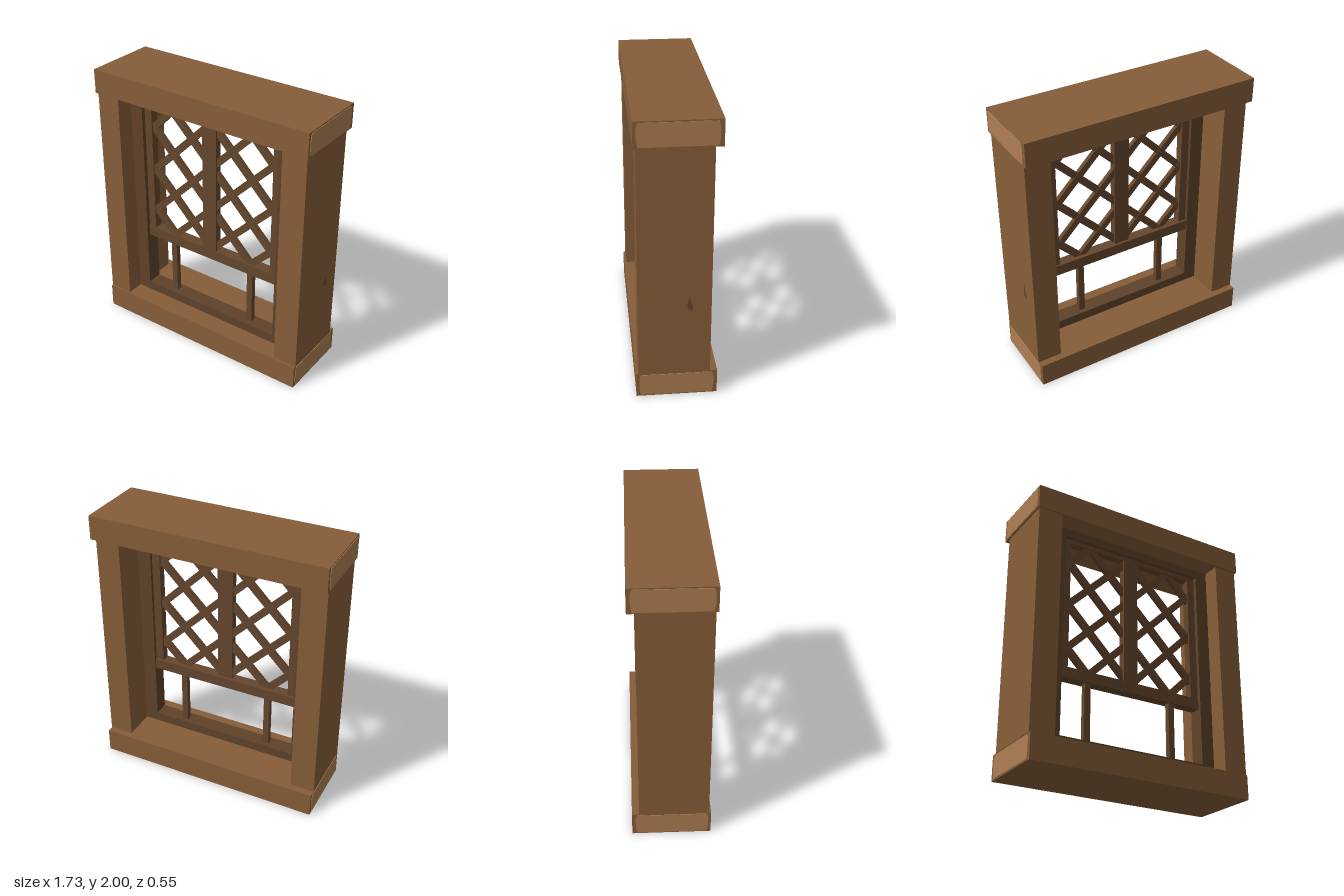
import * as THREE from 'three';

export function createModel() {
  const model = new THREE.Group();
  model.name = 'latticeWindow';
  const mat = (name, color) => {
    const m = new THREE.MeshStandardMaterial({ color });
    m.name = name;
    return m;
  };
  const wood = mat('timber brown', 0x875e39);
  const frameWood = mat('frame dark brown', 0x5f432a);
  const sashWood = mat('sash brown', 0x65472e);
  const endGrain = mat('end grain tan', 0xae7e52);

  // Box given by its limits on each axis
  const box = (name, material, x0, x1, y0, y1, z0, z1, parent = model) => {
    const mesh = new THREE.Mesh(new THREE.BoxGeometry(x1 - x0, y1 - y0, z1 - z0), material);
    mesh.position.set((x0 + x1) / 2, (y0 + y1) / 2, (z0 + z1) / 2);
    mesh.name = name;
    parent.add(mesh);
    return mesh;
  };

  // Thin plate facing +x or -x, outlined by [z, y] points
  const sidePlate = (name, material, points, side, x) => {
    const shape = new THREE.Shape(points.map(([z, y]) => new THREE.Vector2(-side * z, y)));
    const mesh = new THREE.Mesh(new THREE.ExtrudeGeometry(shape, { depth: 0.004, bevelEnabled: false }), material);
    mesh.rotation.y = side * Math.PI / 2;
    mesh.position.x = side * x;
    mesh.name = name;
    model.add(mesh);
  };

  // Lintel and sill beams, with cut grain on both ends
  for (const [name, halfX, y0, y1] of [['lintel', 0.861, 1.825, 2], ['sill', 0.847, 0, 0.18]]) {
    box(name, wood, -halfX, halfX, y0, y1, -0.275, 0.275);
    const a = y0 + 0.009, b = y1 - 0.009;
    const outline = [[-0.24, a], [0.245, a], [0.255, a + 0.045], [0.255, b - 0.04],
      [0.245, b], [-0.24, b], [-0.25, b - 0.04], [-0.25, a + 0.045]];
    for (const side of [-1, 1]) sidePlate(name + 'EndGrain', endGrain, outline, side, halfX);
  }

  // Side posts
  for (const s of [-1, 1]) {
    const [x0, x1] = s < 0 ? [-0.85, -0.67] : [0.67, 0.85];
    box('post', wood, x0, x1, 0.18, 1.825, -0.225, 0.26);
  }
  // Chipped mark on one post
  sidePlate('postMark', sashWood,
    [[0.08, 0.785], [0.064, 0.71], [0.07, 0.685], [0.1, 0.67], [0.104, 0.7], [0.09, 0.735]]
      .map(([z, y]) => [-z, y]), 1, 0.848);

  // Recessed fixed frame
  const frame = new THREE.Group();
  frame.name = 'fixedFrame';
  model.add(frame);
  for (const s of [-1, 1]) {
    const [x0, x1] = s < 0 ? [-0.67, -0.57] : [0.57, 0.67];
    box('jamb', frameWood, x0, x1, 0.18, 1.825, 0.015, 0.13, frame);
  }
  box('frameHead', frameWood, -0.57, 0.57, 1.76, 1.825, 0.015, 0.13, frame);
  box('frameFoot', frameWood, -0.57, 0.57, 0.18, 0.25, 0.015, 0.13, frame);

  // Raised sash
  const sash = new THREE.Group();
  sash.name = 'sash';
  model.add(sash);
  box('stile', sashWood, -0.57, -0.51, 0.755, 1.76, 0.04, 0.1, sash);
  box('stile', sashWood, 0.51, 0.57, 0.755, 1.76, 0.04, 0.1, sash);
  box('topRail', sashWood, -0.51, 0.51, 1.73, 1.76, 0.04, 0.1, sash);
  box('bottomRail', sashWood, -0.57, 0.57, 0.675, 0.755, 0.025, 0.105, sash);
  box('mullion', sashWood, -0.066, 0.05, 0.755, 1.73, 0.045, 0.1, sash);

  // Diagonal lattice: 45 degree bars, each clipped to its pane
  const step = 0.336;
  for (const [cx, x0, x1] of [[-0.34, -0.535, -0.045], [0.333, 0.03, 0.535]]) {
    for (const slope of [-1, 1]) {
      for (let k = -4; k <= 4; k++) {
        const c = 1.415 + k * step; // height of the bar at x = cx
        const xAt = (y) => cx + (y - c) * slope;
        const ends = [xAt(0.735), xAt(1.75)].sort((p, q) => p - q);
        const a = Math.max(x0, ends[0]), b = Math.min(x1, ends[1]);
        if (b - a < 0.02) continue;
        const bar = new THREE.Mesh(
          new THREE.BoxGeometry((b - a) * Math.SQRT2, 0.05, 0.032), sashWood);
        const mid = (a + b) / 2;
        bar.position.set(mid, c + slope * (mid - cx), 0.072 + slope * 0.002);
        bar.rotation.z = slope * Math.PI / 4;
        bar.name = 'latticeBar';
        sash.add(bar);
      }
    }
  }

  // Upright bars in the open lower part
  for (const x of [-0.347, 0.338]) {
    box('lowerBar', sashWood, x - 0.023, x + 0.023, 0.25, 0.675, 0.05, 0.09);
  }
  return model;
}
